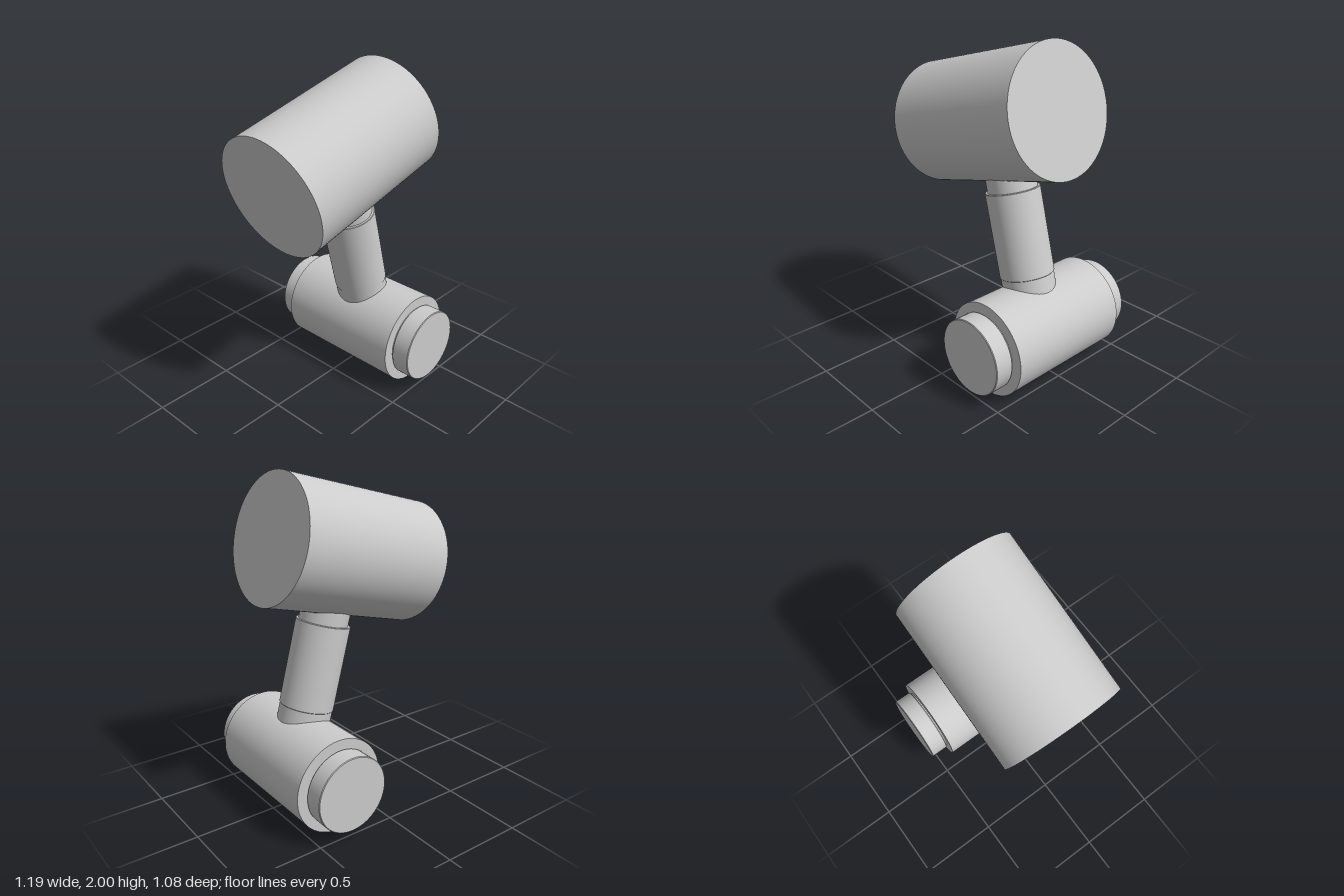
import * as THREE from 'three';

const material = new THREE.MeshStandardMaterial({ color: 0xcccccc });

// Solid turned about y from y0 to y1, with a small edge bevel and sharp creases.
function turned(name, r, y0, y1, bevel = 0) {
  let geometry;
  if (bevel > 0) {
    const p = [[0, y0], [r - bevel, y0], [r, y0 + bevel], [r, y1 - bevel], [r - bevel, y1], [0, y1]];
    // Doubled corner points keep each band's normals separate.
    const pts = [];
    p.forEach(([x, y], i) => {
      pts.push(new THREE.Vector2(x, y));
      if (i > 0 && i < p.length - 1) pts.push(new THREE.Vector2(x, y));
    });
    geometry = new THREE.LatheGeometry(pts, 96);
  } else {
    geometry = new THREE.CylinderGeometry(r, r, y1 - y0, 96);
    geometry.translate(0, (y0 + y1) / 2, 0);
  }
  const mesh = new THREE.Mesh(geometry, material);
  mesh.name = name;
  return mesh;
}

export function createModel() {
  const model = new THREE.Group();
  model.name = 'jointedArm';

  // Horizontal base joint, lying front to back
  const base = new THREE.Group();
  base.name = 'baseJoint';
  base.position.set(0.307, 0.284, -0.002);
  base.rotation.x = Math.PI / 2;
  base.add(turned('baseBarrel', 0.284, -0.413, 0.413));
  for (const [side, s] of [['front', 1], ['back', -1]]) {
    const end = new THREE.Group();
    end.name = side + 'End';
    if (s < 0) end.rotation.x = Math.PI;
    end.add(turned(side + 'CapNeck', 0.215, 0.4, 0.43));
    end.add(turned(side + 'Cap', 0.228, 0.423, 0.539, 0.004));
    base.add(end);
  }
  model.add(base);

  // Leaning arm and head, built upright and tilted together about the joint
  const upper = new THREE.Group();
  upper.name = 'tiltedArm';
  upper.position.set(0.313, 0.285, 0.016);
  upper.rotation.z = 0.252;

  const arm = new THREE.Group();
  arm.name = 'arm';
  arm.position.x = 0.006;
  arm.add(turned('lowerCollar', 0.16, 0.1, 0.34));
  arm.add(turned('armTube', 0.164, 0.327, 0.846, 0.003));
  arm.add(turned('upperNeck', 0.148, 0.83, 1.0));
  upper.add(arm);

  // Large drum across the top of the arm
  const head = turned('headDrum', 0.373, -0.498, 0.498);
  head.position.set(-0.017, 1.274, -0.002);
  head.rotation.z = -Math.PI / 2;
  upper.add(head);
  model.add(upper);

  return model;
}
